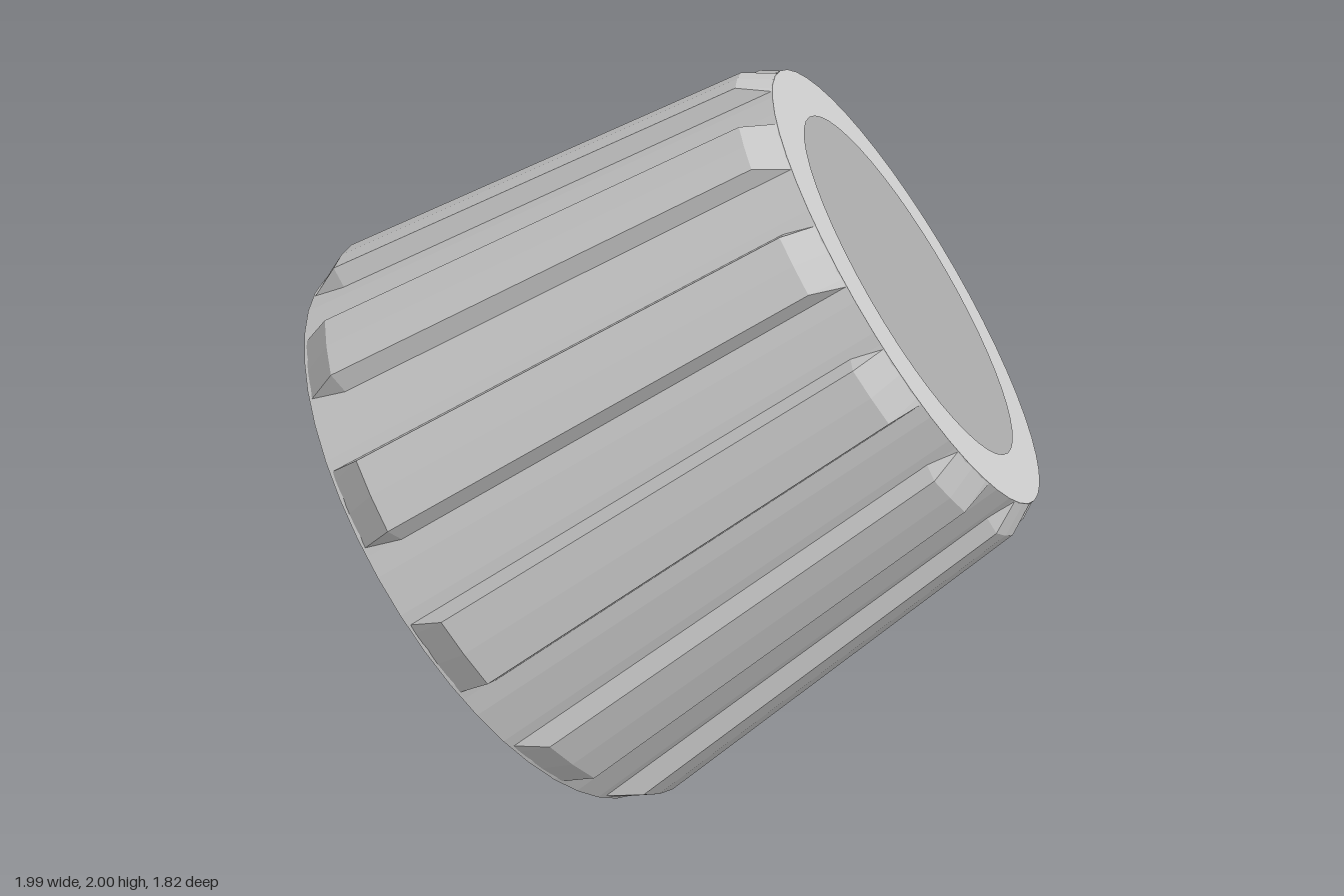
import * as THREE from 'three';

const H = 1.357, R_BASE = 0.84, R_TOP = 0.655, R_INLAY = 0.513;
const RIBS = 12, SIDES = 48;
const rad = THREE.MathUtils.degToRad;
const coneRadius = (y) => R_BASE + (R_TOP - R_BASE) * (y / H);

// One raised rib: cross-sections up the cone, bevelled at both ends and sides
function ribGeometry() {
  const rows = [[0.008, 0], [0.1, 0.05], [H - 0.08, 0.04], [H - 0.002, 0]]; // height, rise
  const cols = [[-8.3, 0], [-6.5, 1], [0, 1], [6.5, 1], [8.3, 0]]; // angle, share of rise
  const pos = [], index = [];
  for (const [y, rise] of rows) {
    for (const [deg, share] of cols) {
      const r = coneRadius(y) + rise * share - (share ? 0 : 0.002);
      pos.push(r * Math.cos(rad(deg)), y, -r * Math.sin(rad(deg)));
    }
  }
  const n = cols.length;
  for (let i = 0; i < rows.length - 1; i++) {
    for (let j = 0; j < n - 1; j++) {
      const a = i * n + j, b = a + 1, c = a + n, d = c + 1;
      index.push(a, b, d, a, d, c);
    }
  }
  const indexed = new THREE.BufferGeometry();
  indexed.setAttribute('position', new THREE.Float32BufferAttribute(pos, 3));
  indexed.setIndex(index);
  const flat = indexed.toNonIndexed();
  flat.computeVertexNormals();
  return flat;
}

export function createModel() {
  const model = new THREE.Group();
  model.name = 'ribbedKnob';
  const grey = new THREE.MeshStandardMaterial({ color: 0xcccccc, flatShading: true });
  const ribMaterial = new THREE.MeshStandardMaterial({
    color: 0xcccccc, flatShading: true, side: THREE.DoubleSide,
  });
  const dark = new THREE.MeshStandardMaterial({ color: 0xa9a9a9 });

  const add = (name, geometry, material) => {
    const mesh = new THREE.Mesh(geometry, material);
    mesh.name = name;
    model.add(mesh);
    return mesh;
  };

  // Tapered body with closed ends
  const body = add('body', new THREE.CylinderGeometry(R_TOP, R_BASE, H, SIDES), grey);
  body.position.y = H / 2;

  // Darker round inlay on the small end
  const inlay = add('capInlay', new THREE.CircleGeometry(R_INLAY, SIDES), dark);
  inlay.rotation.x = -Math.PI / 2;
  inlay.position.y = H + 0.002;

  // Grip ribs around the body
  const rib = ribGeometry();
  for (let i = 0; i < RIBS; i++) {
    add('gripRib', rib, ribMaterial).rotation.y = rad(3 + (i * 360) / RIBS);
  }

  // Tilt the knob so that it leans on the rim of its wide end
  const axis = new THREE.Vector3(0.785, 0.572, 0.24).normalize();
  model.quaternion.setFromUnitVectors(new THREE.Vector3(0, 1, 0), axis);
  model.position.set(-0.481, 0.689, -0.076);

  const root = new THREE.Group();
  root.name = 'model';
  root.add(model);
  return root;
}
